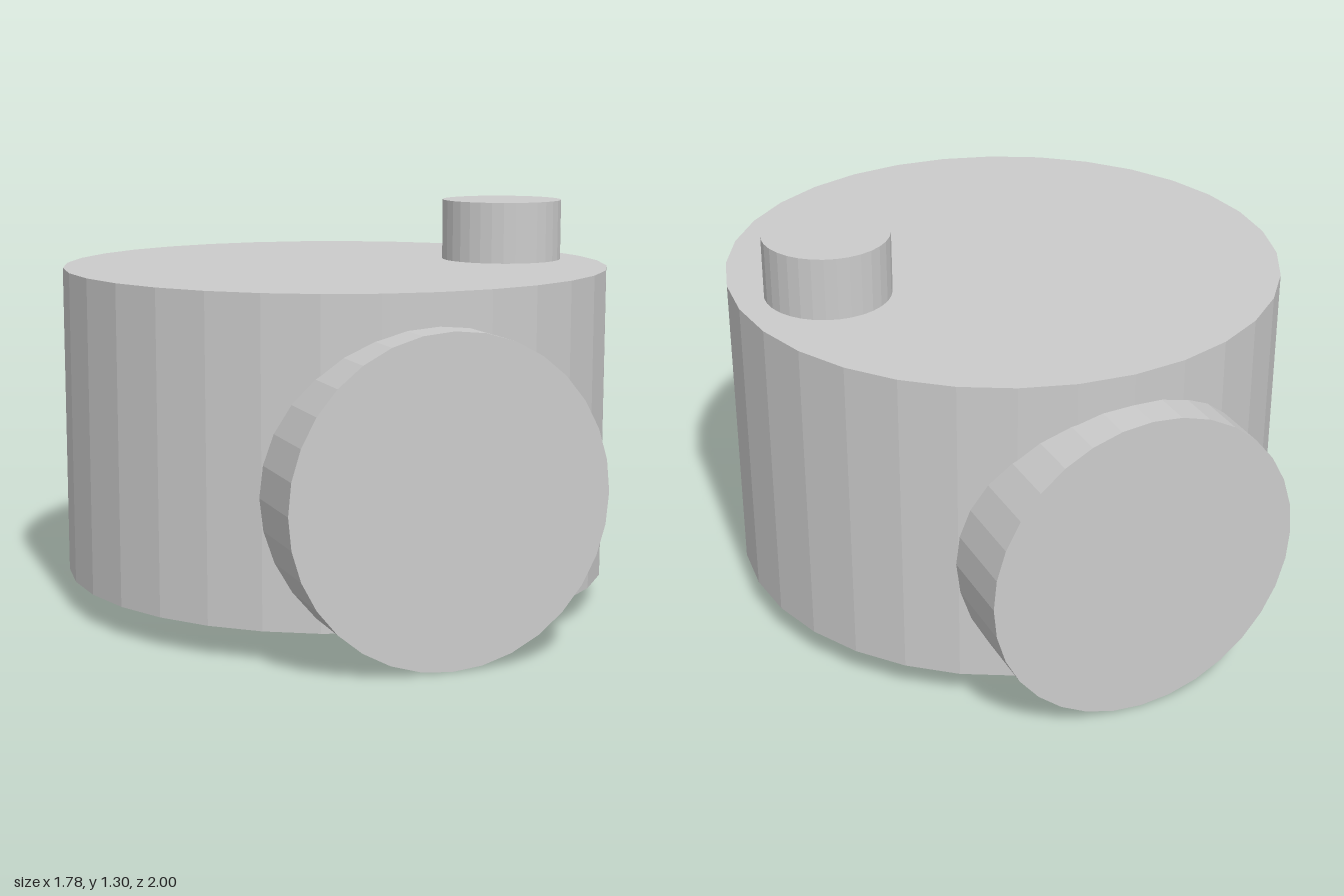
import * as THREE from 'three';

const SIDES = 32;

export function createModel() {
  const group = new THREE.Group();
  const material = new THREE.MeshStandardMaterial({ color: 0xcccccc, flatShading: true });

  const addCylinder = (name, radius, height, x, y, z) => {
    const mesh = new THREE.Mesh(new THREE.CylinderGeometry(radius, radius, height, SIDES), material);
    mesh.name = name;
    mesh.position.set(x, y, z);
    group.add(mesh);
    return mesh;
  };

  // Upright drum and the small knob on its top
  addCylinder('body', 0.89, 1, 0, 0.6, 0);
  addCylinder('topKnob', 0.2, 0.2, 0.6, 1.2, 0);

  // Round discs set into the front and back, reaching below the drum
  for (const [name, side] of [['frontWheel', 1], ['backWheel', -1]]) {
    addCylinder(name, 0.5, 0.4, 0, 0.5, side * 0.8).rotation.x = side * Math.PI / 2;
  }

  return group;
}
